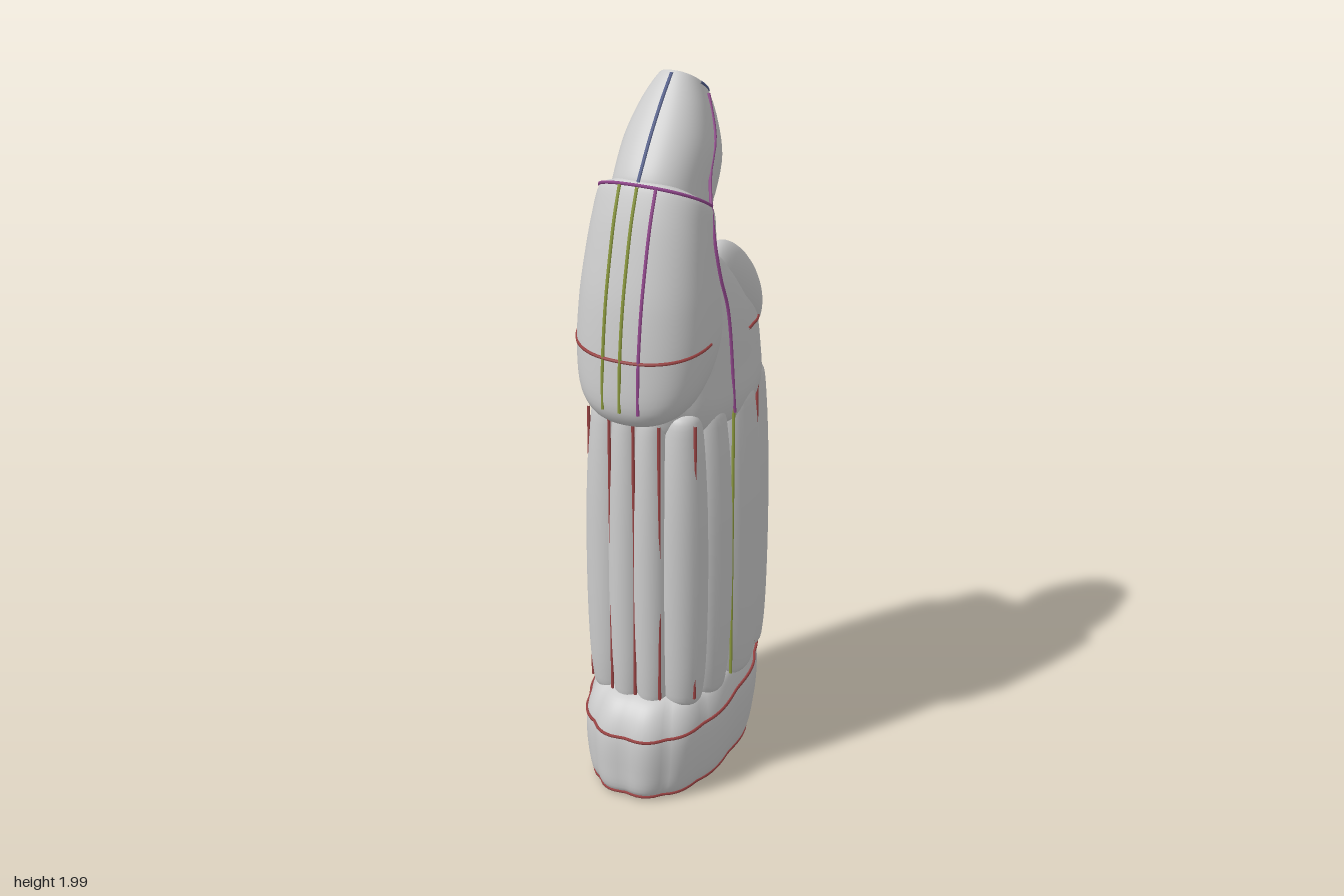
import * as THREE from 'three';

const RED = 0x9c4444, GREEN = 0x8c9a3e, PURPLE = 0x94488f, BLUE = 0x55618f;
const grey = new THREE.MeshStandardMaterial({ color: 0xcccccc, side: THREE.DoubleSide });

// A slanted oval section is [zFront, yFront, zBack, yBack, halfWidth]
function sectionPoint([zf, yf, zb, yb, rx], angle, lobes = 0, depth = 0) {
  const e = 0.85, s = Math.sin(angle), c = Math.cos(angle);
  const puff = 1 - depth * (1 - Math.abs(Math.sin(angle * lobes / 2)));
  const x = Math.sign(s) * Math.abs(s) ** e * rx * puff;
  const k = Math.sign(c) * Math.abs(c) ** e;
  const z = (zf + zb) / 2 + k * puff * (zf - zb) / 2;
  return new THREE.Vector3(x, (yf + yb) / 2 + k * (yf - yb) / 2, z);
}

// Smooth skin over a stack of slanted ovals
function loft(rows, lobes = 0, depth = 0, n = 96) {
  const pos = [], idx = [], steps = 5;
  const curves = rows[0].map((_, k) => new THREE.CatmullRomCurve3(
    rows.map((r, i) => new THREE.Vector3(r[k], i * 0.1, 0)), false, 'centripetal'));
  const count = (rows.length - 1) * steps;
  for (let i = 0; i <= count; i++) {
    const row = curves.map(c => c.getPoint(i / count).x);
    for (let j = 0; j < n; j++) {
      pos.push(...sectionPoint(row, j / n * Math.PI * 2, lobes, depth).toArray());
      if (i === count) continue;
      const a = i * n + j, b = i * n + (j + 1) % n;
      idx.push(a, b, b + n, a, b + n, a + n);
    }
  }
  const g = new THREE.BufferGeometry();
  g.setAttribute('position', new THREE.Float32BufferAttribute(pos, 3));
  g.setIndex(idx);
  g.computeVertexNormals();
  return g;
}

export function createModel() {
  const model = new THREE.Group();
  model.name = 'paddedFigure';

  const add = (name, geometry, material = grey) => {
    const mesh = new THREE.Mesh(geometry, material);
    mesh.name = name;
    model.add(mesh);
    return mesh;
  };
  const seam = (name, points, color, closed = false) => {
    const curve = new THREE.CatmullRomCurve3(points.map(p => p.isVector3 ? p : new THREE.Vector3(...p)), closed);
    add(name, new THREE.TubeGeometry(curve, closed ? 96 : 32, 0.0045, 5, closed),
      new THREE.MeshStandardMaterial({ color }));
  };
  const ringSeam = (name, row, color, from = 0, to = Math.PI * 2, lobes = 0, depth = 0) => {
    const closed = to - from > 6.28, pts = [];
    for (let i = 0; i < (closed ? 48 : 49); i++)
      pts.push(sectionPoint(row, from + (to - from) * i / 48, lobes, depth));
    seam(name, pts, color, closed);
  };

  // Puffy foot with a shallow hollow underside
  add('base', loft([
    [0.02, 0.035, -0.02, 0.035, 0.002],
    [0.22, 0.03, -0.2, 0.03, 0.1],
    [0.28, 0.005, -0.26, 0.005, 0.145],
    [0.33, 0.025, -0.3, 0.025, 0.18],
    [0.337, 0.1, -0.31, 0.12, 0.2],
    [0.333, 0.19, -0.31, 0.22, 0.205],
    [0.31, 0.25, -0.303, 0.285, 0.192],
    [0.27, 0.29, -0.28, 0.315, 0.168],
    [0.2, 0.31, -0.2, 0.33, 0.1],
  ], 12, 0.03));

  // Inner core behind the columns
  add('core', loft([
    [0.24, 0.26, -0.25, 0.28, 0.16],
    [0.25, 0.7, -0.265, 0.7, 0.168],
    [0.24, 1.15, -0.255, 1.15, 0.16],
  ]));

  // Inflated columns: x, z, half width, half depth
  const profile = new THREE.SplineCurve([[0.01, 0], [0.65, 0.01], [0.84, 0.07], [0.95, 0.2], [1, 0.42],
    [0.96, 0.68], [0.8, 0.9], [0.6, 0.985], [0.01, 1]].map(p => new THREE.Vector2(...p))).getPoints(32);
  const columns = [
    [-0.09, -0.25, 0.068, 0.095], [0.005, -0.225, 0.06, 0.07], [0.085, -0.235, 0.065, 0.072],
    [0.135, -0.19, 0.055, 0.07], [-0.135, -0.19, 0.052, 0.07],
    [-0.14, -0.06, 0.078, 0.11], [0.145, -0.05, 0.076, 0.11],
    [-0.125, 0.085, 0.078, 0.085], [0.125, 0.09, 0.08, 0.085],
    [-0.105, 0.175, 0.07, 0.072], [0.105, 0.175, 0.07, 0.072],
    [-0.035, 0.215, 0.055, 0.056], [0.035, 0.215, 0.055, 0.056],
  ];
  columns.forEach(([x, z, rx, rz], i) => {
    const g = new THREE.LatheGeometry(profile, 28);
    g.scale(rx, 0.88, rz).translate(x, 0.265, z);
    add('column' + (i + 1), g);
  });

  // Belt and cloak, sloping down to the back
  add('hips', loft([
    [0.17, 1.07, -0.22, 1.05, 0.14],
    [0.23, 1.08, -0.285, 1.06, 0.182],
    [0.25, 1.15, -0.3, 1.11, 0.198],
    [0.26, 1.24, -0.302, 1.2, 0.192],
    [0.27, 1.34, -0.292, 1.27, 0.186],
    [0.26, 1.43, -0.262, 1.34, 0.175],
    [0.22, 1.52, -0.19, 1.425, 0.152],
    [0.18, 1.57, -0.09, 1.5, 0.115],
    [0.1, 1.55, 0.05, 1.54, 0.01],
  ], 10, 0.025));

  // Chest shell hanging over the front, with a shoulder ledge
  add('chestShell', loft([
    [0.2, 1.16, 0.1, 1.2, 0.03],
    [0.29, 1.13, 0.02, 1.23, 0.13],
    [0.33, 1.18, 0.0, 1.29, 0.168],
    [0.327, 1.3, -0.02, 1.36, 0.183],
    [0.308, 1.45, -0.01, 1.43, 0.179],
    [0.283, 1.56, 0.0, 1.5, 0.17],
    [0.252, 1.67, 0.0, 1.56, 0.16],
    [0.22, 1.75, 0.0, 1.625, 0.147],
    [0.2, 1.765, 0.02, 1.645, 0.11],
  ]));

  // Two thick bolsters running down the back
  for (const x of [-0.075, 0.105]) {
    const bolster = add(x < 0 ? 'rightBolster' : 'leftBolster', new THREE.SphereGeometry(1, 28, 24));
    bolster.scale.set(0.062, 0.195, 0.088);
    bolster.position.set(x, 1.38, -0.135);
    bolster.rotation.x = 0.72;
  }

  // Hood leaning back to a slanted flat crown
  add('hood', loft([
    [0.21, 1.73, 0.0, 1.6, 0.12],
    [0.205, 1.77, -0.08, 1.65, 0.12],
    [0.14, 1.86, -0.122, 1.74, 0.117],
    [0.07, 1.94, -0.12, 1.84, 0.091],
    [0.02, 1.99, -0.114, 1.905, 0.06],
    [0.005, 1.99, -0.1, 1.917, 0.046],
    [-0.045, 1.955, -0.047, 1.955, 0.001],
  ]));

  // Chin and neck tucked under the hood
  const chin = add('chin', new THREE.SphereGeometry(1, 28, 20));
  chin.scale.set(0.085, 0.105, 0.085);
  chin.position.set(0, 1.64, -0.033);
  const neck = add('neck', new THREE.CylinderGeometry(0.07, 0.065, 0.14, 24));
  neck.position.set(0, 1.55, -0.01);

  // Horizontal seams
  ringSeam('baseSeam', [0.335, 0.2, -0.31, 0.27, 0.203], RED, 0, Math.PI * 2, 12, 0.03);
  ringSeam('footSeam', [0.328, 0.02, -0.298, 0.02, 0.178], RED, 0, Math.PI * 2, 12, 0.03);
  ringSeam('hoodSeam', [0.22, 1.755, 0.0, 1.63, 0.146], PURPLE, -1.7, 1.7);
  ringSeam('shellRimSeam', [0.326, 1.32, -0.02, 1.37, 0.183], RED, -1.5, 1.5);
  ringSeam('hipSeam', [0.27, 1.34, -0.292, 1.27, 0.187], RED, 1.7, 4.58, 10, 0.025);
  ringSeam('crownSeam', [0.02, 1.99, -0.114, 1.905, 0.06], BLUE, 1.3, 4.98);

  // Vertical seams on the hood, shell and columns
  seam('hoodCentreSeam', [[0, 1.76, 0.215], [0, 1.86, 0.142], [0, 1.94, 0.072], [0, 1.99, 0.02]], BLUE);
  const shellFront = [[1.18, 0.331], [1.3, 0.328], [1.45, 0.309], [1.56, 0.284], [1.67, 0.253], [1.75, 0.221]];
  [[-0.05, GREEN], [0, GREEN], [0.05, PURPLE]].forEach(([x, color]) =>
    seam('shellSeam', shellFront.map(([y, z]) => [x, y, z - Math.abs(x) * 0.08]), color));
  [[-0.072, 0.25], [0, 0.255], [0.072, 0.25], [-0.155, 0.205], [0.155, 0.205], [-0.185, 0.03], [0.19, 0.04],
    [-0.172, -0.155], [0.175, -0.15], [0.04, -0.285]].forEach(([x, z], i) =>
    seam('columnSeam', [[x, 0.3, z], [x, 0.7, z], [x, 1.12, z]], i === 5 || i === 6 ? GREEN : RED));
  for (const s of [-1, 1]) {
    seam('sideSeam', [[s * 0.075, 1.93, -0.04], [s * 0.112, 1.83, 0.0], [s * 0.122, 1.74, 0.05],
      [s * 0.16, 1.62, 0.11], [s * 0.175, 1.5, 0.1], [s * 0.184, 1.4, 0.07], [s * 0.193, 1.1, 0.04]],
    s < 0 ? BLUE : PURPLE);
  }
  return model;
}
